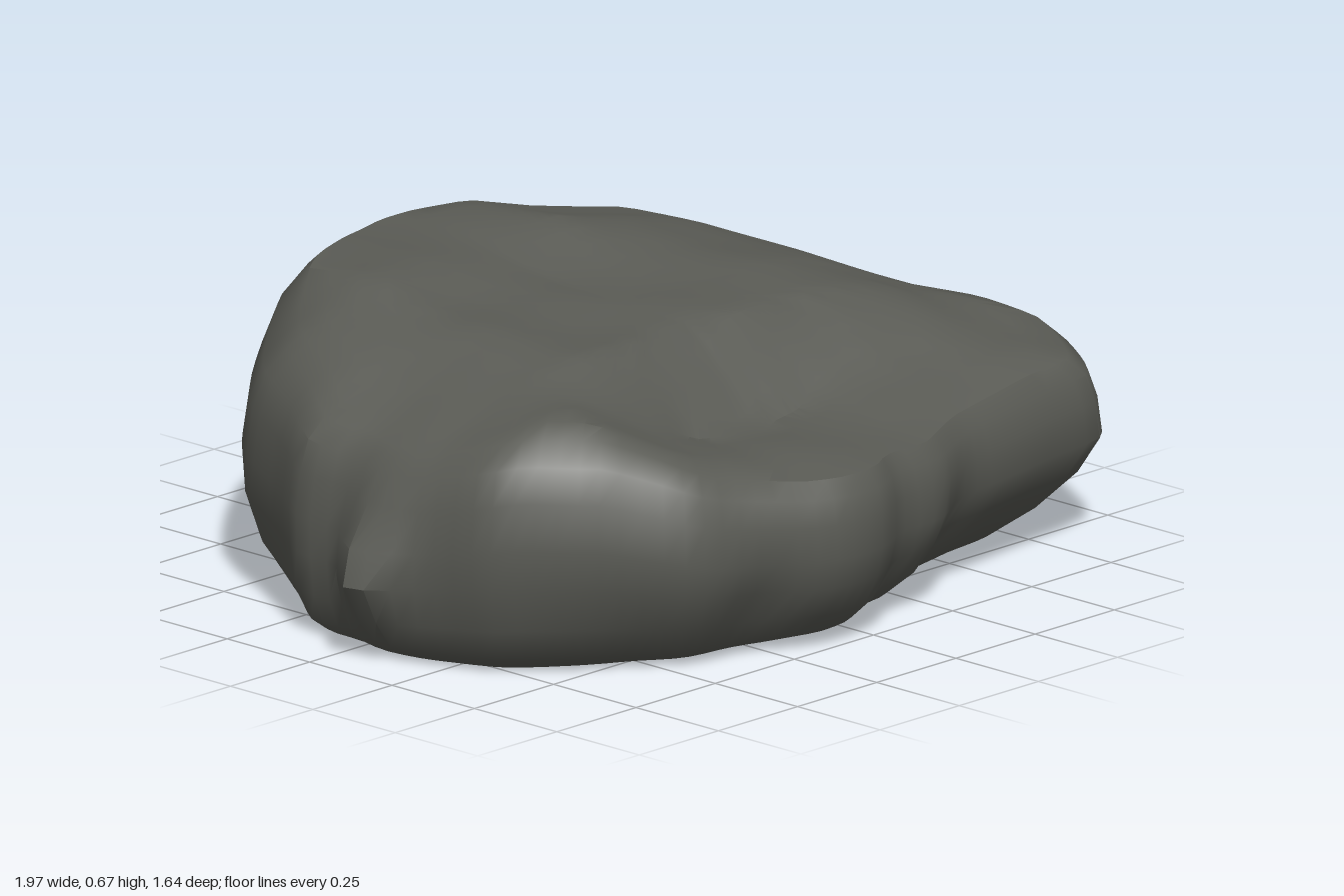
import * as THREE from 'three';
import { toCreasedNormals } from 'three/addons/utils/BufferGeometryUtils.js';

// Widest outline of the boulder as [x, z], from the left side round by the front
const OUTLINE = [
  [0.85, 0], [0.91, 0.08], [0.97, 0.25], [0.99, 0.4], [0.92, 0.54], [0.84, 0.63], [0.6, 0.66],
  [0.4, 0.68], [0.22, 0.75], [0.08, 0.76], [-0.02, 0.81], [-0.15, 0.82], [-0.4, 0.75],
  [-0.53, 0.71], [-0.72, 0.55], [-0.85, 0.39], [-0.89, 0.2], [-0.88, 0.08], [-0.86, -0.02],
  [-0.88, -0.15], [-0.8, -0.3], [-0.71, -0.48], [-0.58, -0.6], [-0.4, -0.72], [-0.2, -0.79],
  [-0.05, -0.83], [0.07, -0.83], [0.27, -0.78], [0.5, -0.71], [0.69, -0.65], [0.7, -0.5],
  [0.8, -0.32], [0.83, -0.12],
];

// Heights of the upper surface: rows z = -0.6..0.8, columns x = -0.8..0.8, step 0.2
const TOP = [
  [0.46, 0.54, 0.65, 0.66, 0.65, 0.65, 0.60, 0.55, 0.48],
  [0.49, 0.59, 0.67, 0.65, 0.64, 0.67, 0.63, 0.57, 0.48],
  [0.50, 0.59, 0.63, 0.61, 0.60, 0.62, 0.61, 0.57, 0.49],
  [0.47, 0.57, 0.61, 0.60, 0.60, 0.60, 0.60, 0.57, 0.49],
  [0.48, 0.57, 0.60, 0.59, 0.58, 0.59, 0.59, 0.55, 0.48],
  [0.54, 0.57, 0.50, 0.42, 0.41, 0.42, 0.46, 0.47, 0.45],
  [0.51, 0.53, 0.46, 0.42, 0.41, 0.40, 0.41, 0.43, 0.43],
  [0.43, 0.44, 0.41, 0.40, 0.40, 0.39, 0.39, 0.40, 0.42],
];

// Flank profiles: outline scale at each share of the rim height, one row per
// 45 degrees from the left side round by the front
const SHARES = [0, 0.06, 0.2, 0.38, 0.55, 0.74, 0.88, 0.97];
const FLANKS = [
  [0.64, 0.76, 0.88, 0.97, 1.00, 0.99, 0.97, 0.92],
  [0.68, 0.76, 0.86, 0.95, 1.00, 0.99, 0.97, 0.93],
  [0.76, 0.85, 0.93, 0.98, 1.00, 1.00, 0.985, 0.95],
  [0.80, 0.87, 0.93, 0.98, 1.00, 0.98, 0.95, 0.90],
  [0.94, 0.98, 1.00, 1.00, 1.00, 0.99, 0.97, 0.92],
  [0.79, 0.86, 0.94, 0.99, 1.00, 0.98, 0.94, 0.88],
  [0.75, 0.87, 0.99, 0.96, 0.97, 0.97, 0.92, 0.87],
  [0.60, 0.68, 0.78, 0.86, 0.92, 0.98, 1.00, 0.98],
];

// Spurs and dents on the flanks: [angle, height, angle width, height width, amount]
const BUMPS = [
  [175, 0.2, 6, 0.13, 0.12], [5, 0.26, 3, 0.1, 0.03], [-6, 0.28, 5, 0.12, -0.04],
  [-22, 0.3, 6, 0.05, 0.03], [115, 0.12, 6, 0.1, -0.04], [65, 0.15, 6, 0.12, -0.03],
];
const INNER = [0.85, 0.78, 0.7, 0.62, 0.54, 0.46, 0.38, 0.3, 0.22, 0.14, 0.07, 0];
const SEGMENTS = 120;
const { lerp, clamp, radToDeg } = THREE.MathUtils;

function topHeight(x, z) {
  const u = clamp((x + 0.8) / 0.2, 0, 7.999);
  const v = clamp((z + 0.6) / 0.2, 0, 6.999);
  const i = Math.floor(u), j = Math.floor(v);
  const row = (r) => lerp(TOP[r][i], TOP[r][i + 1], u - i);
  return lerp(row(j), row(j + 1), v - j);
}

function flankPoint(p, level) {
  const angle = radToDeg(Math.atan2(p.z, p.x));
  const y = SHARES[level] * topHeight(p.x * 0.88, p.z * 0.88);
  const turn = (angle + 360) % 360 / 45;
  const i = Math.floor(turn);
  let k = lerp(FLANKS[i][level], FLANKS[(i + 1) % 8][level], turn - i);
  for (const [a, h, aw, hw, amount] of BUMPS) {
    const da = (angle - a + 540) % 360 - 180;
    k += amount * Math.exp(-((da / aw) ** 2) - ((y - h) / hw) ** 2);
  }
  return [p.x * k, y, p.z * k];
}

function boulderGeometry() {
  const curve = new THREE.CatmullRomCurve3(
    OUTLINE.map(([x, z]) => new THREE.Vector3(x, 0, z)), true, 'catmullrom', 0.3);
  const outline = curve.getSpacedPoints(SEGMENTS).slice(0, SEGMENTS);
  const rings = [];

  // Flat underside
  for (const s of [0, 0.3, 0.55]) {
    rings.push(outline.map((p) => [p.x * s, 0, p.z * s]));
  }
  // Bulging flanks, undercut below the back left corner
  SHARES.forEach((_, level) => rings.push(outline.map((p) => flankPoint(p, level))));
  // Uneven top with the raised shelf and the lower front ledge
  for (const s of INNER) {
    rings.push(outline.map((p) => {
      const x = p.x * s, z = p.z * s;
      const ripple = 0.006 * Math.sin(x * 11 + z * 5) * Math.sin(z * 13 - x * 4);
      return [x, topHeight(x, z) + ripple, z];
    }));
  }

  const index = [];
  const last = rings.length - 1;
  for (let r = 0; r < last; r++) {
    for (let i = 0; i < SEGMENTS; i++) {
      const n = (i + 1) % SEGMENTS;
      const a = r * SEGMENTS + i, b = r * SEGMENTS + n;
      const c = a + SEGMENTS, d = b + SEGMENTS;
      if (r > 0) index.push(a, c, b);
      if (r < last - 1) index.push(b, c, d);
    }
  }
  const geometry = new THREE.BufferGeometry();
  geometry.setAttribute('position', new THREE.Float32BufferAttribute(rings.flat(2), 3));
  geometry.setIndex(index);
  return toCreasedNormals(geometry, 0.6);
}

export function createModel() {
  const stone = new THREE.MeshStandardMaterial({ color: 0x5a5b55 });
  stone.name = 'dark grey stone';
  const boulder = new THREE.Mesh(boulderGeometry(), stone);
  boulder.name = 'boulder';
  const model = new THREE.Group();
  model.name = 'rock';
  model.add(boulder);
  return model;
}
